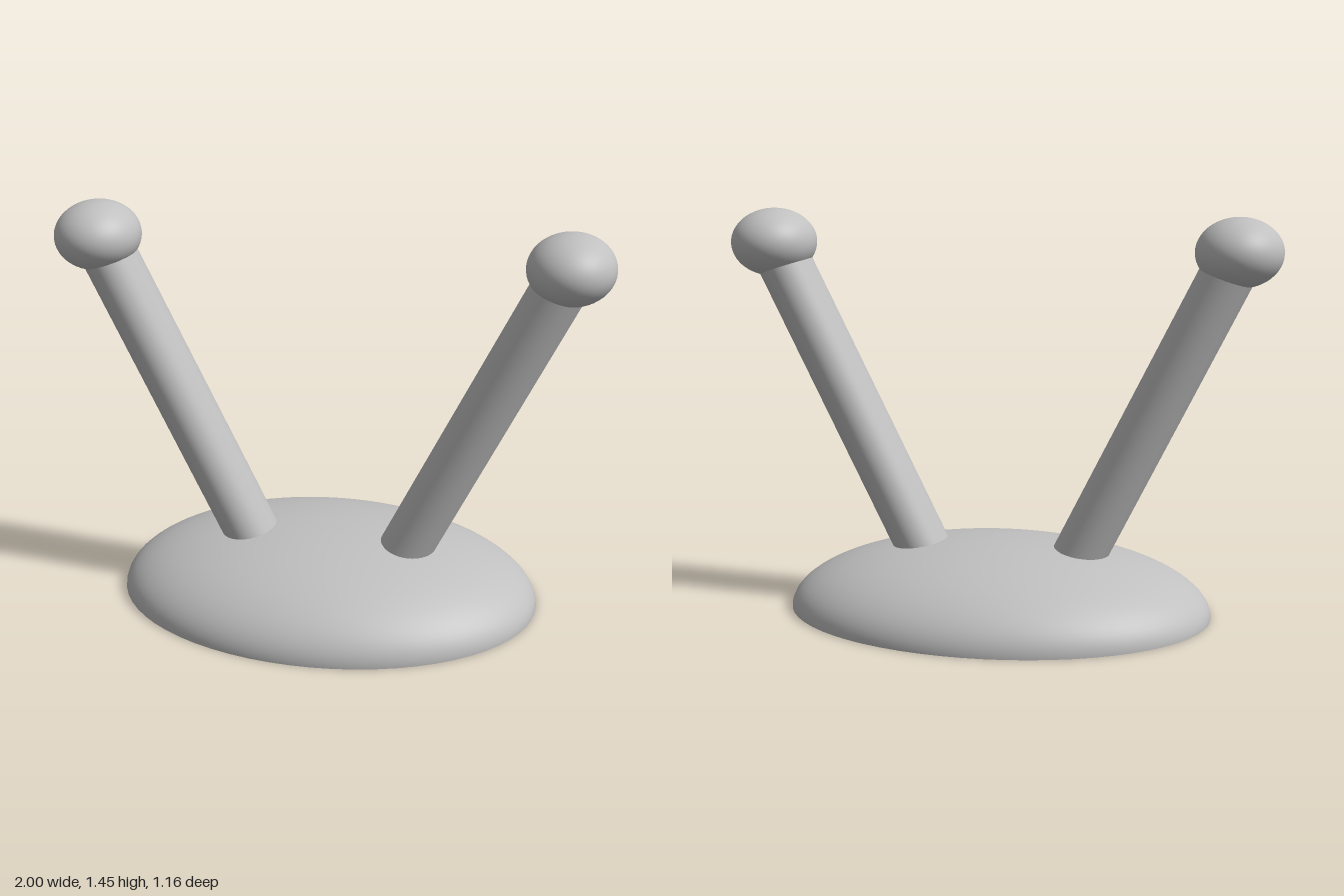
import * as THREE from 'three';

export function createModel() {
  const model = new THREE.Group();
  const grey = new THREE.MeshStandardMaterial({ color: 0xc0c0c0 });
  grey.name = 'plain grey';

  const add = (name, geometry, parent = model) => {
    const mesh = new THREE.Mesh(geometry, grey);
    mesh.name = name;
    parent.add(mesh);
    return mesh;
  };

  // Base: upper half of an ellipsoid, closed by a flat underside
  const dome = add('baseDome', new THREE.SphereGeometry(1, 64, 24, 0, Math.PI * 2, 0, Math.PI / 2));
  dome.scale.set(0.775, 0.26, 0.58);
  const underside = add('baseUnderside', new THREE.CircleGeometry(1, 64));
  underside.rotation.x = Math.PI / 2;
  underside.scale.set(0.775, 0.58, 1);

  // Two leaning stalks of oval section, each tipped with a flattened ball
  const foot = new THREE.Vector3(0.235, 0.1, 0.015);
  const tip = new THREE.Vector3(0.82, 1.28, 0.015);
  const axis = tip.clone().sub(foot);
  for (const side of [1, -1]) {
    const antenna = new THREE.Group();
    antenna.name = side > 0 ? 'leftAntenna' : 'rightAntenna';
    model.add(antenna);

    const stalk = add('stalk', new THREE.CylinderGeometry(1, 1, axis.length(), 48), antenna);
    stalk.scale.set(0.096, 1, 0.115);
    stalk.position.copy(foot).add(tip).multiplyScalar(0.5);
    stalk.position.x *= side;
    stalk.rotation.z = -side * Math.atan2(axis.x, axis.y);

    const ball = add('ball', new THREE.SphereGeometry(1, 48, 32), antenna);
    ball.scale.set(0.154, 0.123, 0.172);
    ball.position.set(side * 0.846, 1.328, 0.017);
  }
  return model;
}
